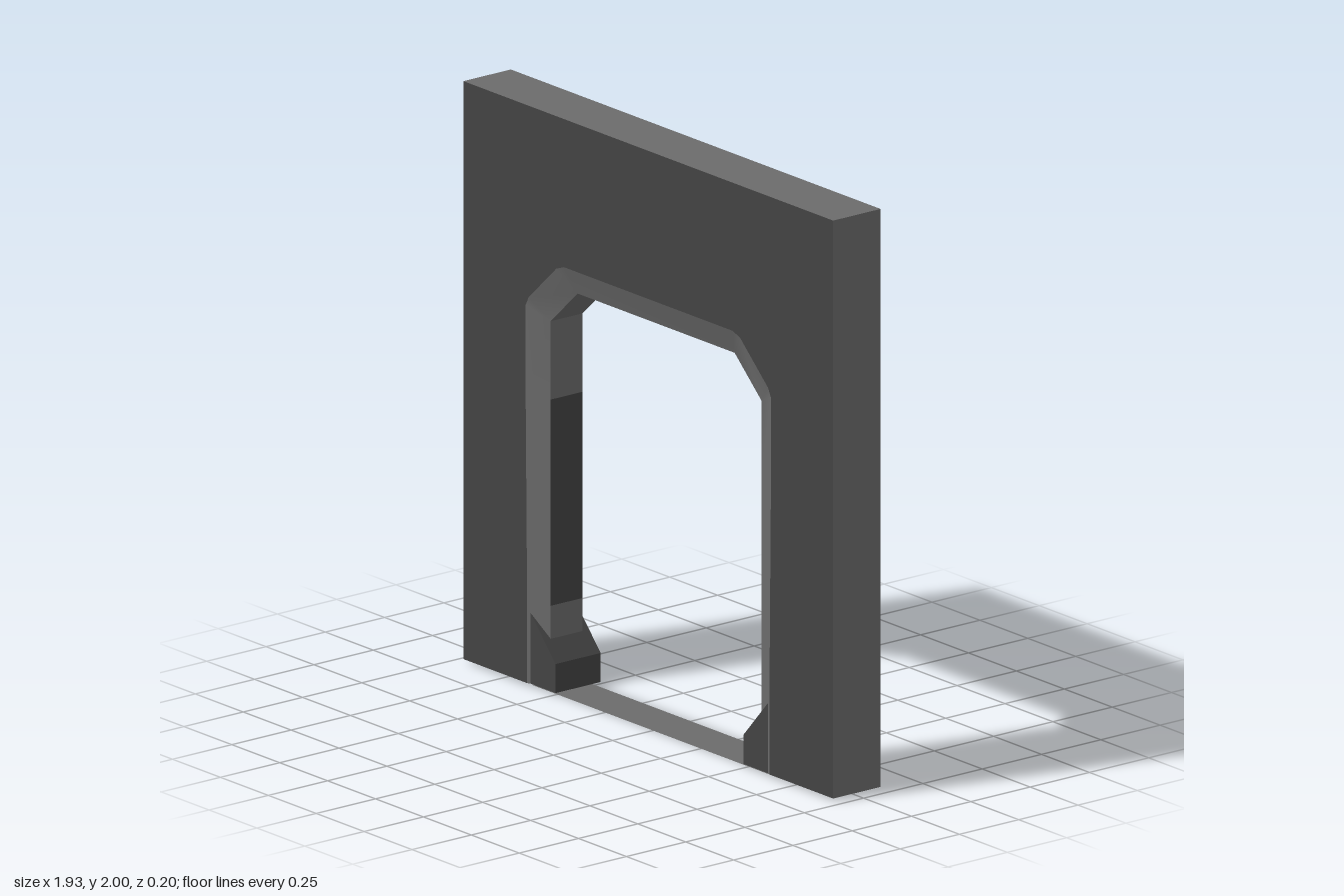
import * as THREE from 'three';
import { mergeVertices } from 'three/addons/utils/BufferGeometryUtils.js';

const W = 0.965, H = 2, Z = 0.1, BASE = 0.01, REVEAL_Z = 0.067;

// Opening outlines, +x half from the floor to the lintel: [x, y]
const OUTER = [[0.632, BASE], [0.632, 0.27], [0.64, 1], [0.64, 1.31], [0.625, 1.34], [0.48, 1.475], [0.44, 1.49]];
const INNER = [[0.55, BASE], [0.55, 0.29], [0.55, 1], [0.55, 1.27], [0.55, 1.27], [0.41, 1.4], [0.41, 1.4]];

const mirrored = (half) => [...half, ...half.map(([x, y]) => [-x, y]).reverse()];

// Band of quads between two equally long paths, each at its own depth
function strip(a, za, b, zb, smooth = false) {
  const pos = [];
  for (let i = 0; i + 1 < a.length; i++) {
    const a0 = [...a[i], za], a1 = [...a[i + 1], za], b0 = [...b[i], zb], b1 = [...b[i + 1], zb];
    pos.push(...a0, ...a1, ...b0, ...a1, ...b1, ...b0);
  }
  let g = new THREE.BufferGeometry();
  g.setAttribute('position', new THREE.Float32BufferAttribute(pos, 3));
  if (smooth) g = mergeVertices(g);
  g.computeVertexNormals();
  return g;
}

export function createModel() {
  const group = new THREE.Group();
  const material = (name, color) => {
    const m = new THREE.MeshStandardMaterial({ color, side: THREE.DoubleSide });
    m.name = name;
    return m;
  };
  const dark = material('dark grey', 0x434343);
  const light = material('mid grey', 0x6b6b6b);
  const add = (name, geometry, mat) => {
    const mesh = new THREE.Mesh(geometry, mat);
    mesh.name = name;
    group.add(mesh);
    return mesh;
  };

  const outer = mirrored(OUTER), inner = mirrored(INNER);

  // Front and back wall faces, notched by the opening
  const outline = [[W, BASE], [W, H], [-W, H], [-W, BASE], ...outer.slice().reverse()];
  const face = new THREE.ShapeGeometry(new THREE.Shape(outline.map(([x, y]) => new THREE.Vector2(x, y))));
  add('frontFace', face, dark).position.z = Z;
  const back = add('backFace', face, dark);
  back.rotation.y = Math.PI;
  back.position.z = -Z;

  // Ends and top of the wall; the underside stays open
  const rim = [[-W, BASE], [-W, H], [W, H], [W, BASE]];
  add('wallRim', strip(rim, Z, rim, -Z), light);

  // Sloped surround on both sides
  add('frontBevel', strip(outer, Z, inner, REVEAL_Z, true), light);
  add('backBevel', strip(inner, -REVEAL_Z, outer, -Z, true), light);

  // Inner reveal, with a dark panel on each jamb
  const reveal = strip(inner, REVEAL_Z, inner, -REVEAL_Z);
  const last = inner.length - 2;
  for (let i = 0; i <= last; i++) reveal.addGroup(i * 6, 6, i === 1 || i === last - 1 ? 1 : 0);
  add('reveal', reveal, [light, dark]);

  // Wedge feet and the cavity liners behind them
  const profile = [[0.49, BASE], [0.635, BASE], [0.635, 0.27], [0.49, 0.11]];
  for (const s of [1, -1]) {
    const side = s > 0 ? 'left' : 'right';
    const shape = new THREE.Shape(profile.map(([x, y]) => new THREE.Vector2(s * x, y)));
    const foot = new THREE.ExtrudeGeometry(shape, { depth: 0.19, bevelEnabled: false });
    add(side + 'Foot', foot.translate(0, 0, -0.095), dark);
    const edge = [[s * 0.642, BASE], [s * 0.642, 0.27]];
    add(side + 'Liner', strip(edge, 0.098, edge, -0.098), light);
  }

  // Thin threshold between the feet
  const sill = new THREE.PlaneGeometry(1.26, 0.16).rotateX(-Math.PI / 2);
  add('threshold', sill, light);

  return group;
}
